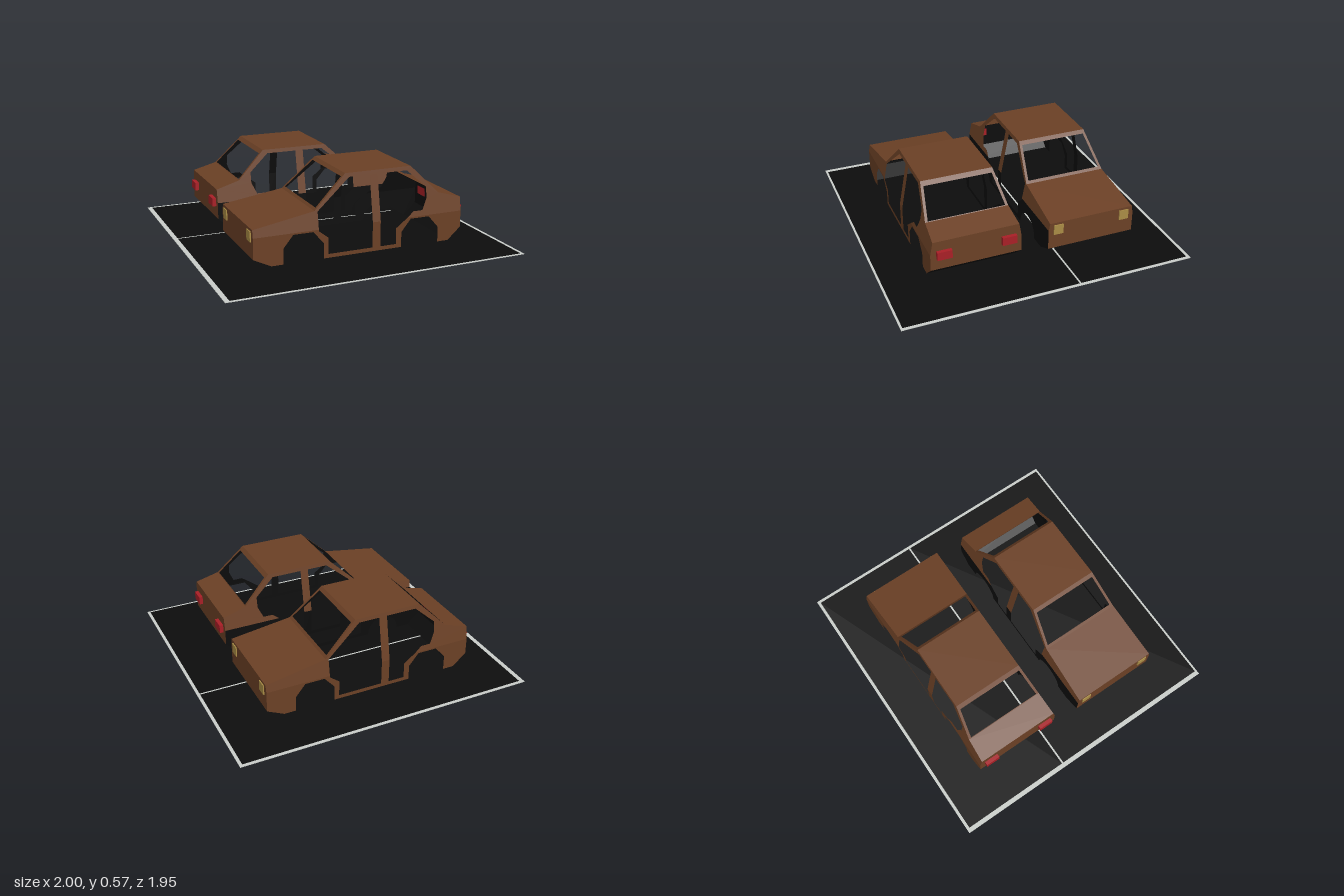
import * as THREE from 'three';

const mat = (name, color) => {
  const m = new THREE.MeshStandardMaterial({ color });
  m.name = name;
  return m;
};

const BELT = 0.25;
// Half width of the body: upright below the belt, leaning in above it
const half = y => 0.3 - Math.max(0, y - BELT) * 0.1875;

// Octagon-like and round wheel openings, walked from rear to front
const cutArch = x => [[x + 0.13, 0.06], [x + 0.13, 0.16], [x + 0.06, 0.24], [x - 0.07, 0.24], [x - 0.135, 0.16], [x - 0.135, 0.06]];
const roundArch = x => Array.from({ length: 13 }, (_, i) => {
  const a = (i / 12) * Math.PI;
  return [x + 0.115 * Math.cos(a), 0.06 + 0.115 * Math.sin(a)];
});

// Body side above the belt, with both door openings as notches
const UPPER = [[-0.733, 0.25], [-0.733, 0.3], [-0.33, 0.365], [-0.11, 0.57], [0.345, 0.57], [0.53, 0.385],
  [0.69, 0.34], [0.69, 0.25], [0.3, 0.25], [0.345, 0.285], [0.41, 0.285], [0.445, 0.36], [0.445, 0.43],
  [0.315, 0.545], [0.11, 0.545], [0.11, 0.25], [0.055, 0.25], [0.055, 0.545], [-0.085, 0.545], [-0.31, 0.36], [-0.31, 0.25]];
// Body side below the belt
const lower = arch => [[-0.733, 0.25], [-0.31, 0.25], [-0.31, 0.24], [-0.245, 0.19], [-0.245, 0.085], [0.055, 0.085],
  [0.055, 0.25], [0.11, 0.25], [0.11, 0.085], [0.22, 0.085], [0.22, 0.19], [0.3, 0.25], [0.69, 0.25], [0.69, 0.14],
  [0.6, 0.06], ...arch(0.393), ...arch(-0.407), [-0.62, 0.06], [-0.733, 0.115]];

// Reverses the faces of a geometry
function flip(g) {
  const idx = g.index.array;
  for (let i = 0; i < idx.length; i += 3) [idx[i], idx[i + 1]] = [idx[i + 1], idx[i]];
  g.computeVertexNormals();
  return g;
}

// Flat side panel, leaned to the body width; s is the side
function sidePanel(points, s) {
  const g = new THREE.ShapeGeometry(new THREE.Shape(points.map(p => new THREE.Vector2(...p))));
  const p = g.attributes.position;
  for (let i = 0; i < p.count; i++) p.setZ(i, s * half(p.getY(i)));
  if (s < 0) return flip(g);
  g.computeVertexNormals();
  return g;
}

// Crosswise quad between profile points a and b, z from za/zb down to wa/wb
function quad(a, b, za = half(a[1]), zb = half(b[1]), wa = -za, wb = -zb) {
  const g = new THREE.BufferGeometry();
  g.setAttribute('position', new THREE.Float32BufferAttribute([...a, za, ...b, zb, ...b, wb, ...a, wa], 3));
  g.setIndex([0, 1, 2, 0, 2, 3]);
  g.computeVertexNormals();
  return g;
}

// Dark inner skin just behind a panel
function lining(g) {
  const c = g.clone(), p = c.attributes.position, n = g.attributes.normal;
  for (let i = 0; i < p.count; i++)
    p.setXYZ(i, p.getX(i) - 0.003 * n.getX(i), p.getY(i) - 0.003 * n.getY(i), p.getZ(i) - 0.003 * n.getZ(i));
  return flip(c);
}

function makeCar(m) {
  const car = new THREE.Group();
  const add = (name, g, material) => {
    const mesh = new THREE.Mesh(g, material);
    mesh.name = name;
    car.add(mesh);
  };
  const panel = (name, g, material = m.brown) => {
    add(name, g, material);
    add(name + 'Lining', lining(g), m.black);
  };

  // Sides
  panel('outerUpperSide', sidePanel(UPPER, 1));
  panel('innerUpperSide', sidePanel(UPPER, -1));
  panel('outerLowerSide', sidePanel(lower(cutArch), 1));
  panel('innerLowerSide', sidePanel(lower(roundArch), -1), m.black);

  // Nose, hood, roof, deck and tail
  panel('noseUnderside', quad([-0.62, 0.06], [-0.733, 0.115]), m.black);
  panel('nose', quad([-0.733, 0.115], [-0.733, BELT]));
  panel('noseTop', quad([-0.733, BELT], [-0.733, 0.3]));
  panel('hood', quad([-0.733, 0.3], [-0.33, 0.365]));
  panel('roof', quad([-0.11, 0.57], [0.345, 0.57]));
  panel('rearDeck', quad([0.53, 0.385], [0.69, 0.34]));
  panel('tailTop', quad([0.69, 0.34], [0.69, BELT]));
  panel('tail', quad([0.69, BELT], [0.69, 0.14]));
  panel('tailUnderside', quad([0.69, 0.14], [0.6, 0.06]), m.black);

  // Open window frames: two rails and two posts
  const frame = (name, a, b, ta, tb) => {
    const at = t => [a[0] + (b[0] - a[0]) * t, a[1] + (b[1] - a[1]) * t];
    const p = at(ta), q = at(tb), hp = half(p[1]), hq = half(q[1]);
    panel(name + 'FrontRail', quad(a, p));
    panel(name + 'RearRail', quad(q, b));
    panel(name + 'OuterPost', quad(p, q, hp, hq, hp - 0.018, hq - 0.018));
    panel(name + 'InnerPost', quad(p, q, 0.018 - hp, 0.018 - hq, -hp, -hq));
  };
  frame('windshield', [-0.33, 0.365], [-0.11, 0.57], 0.07, 0.9);
  frame('rearWindow', [0.345, 0.57], [0.53, 0.385], 0.13, 0.98);

  // Lamps
  for (const s of [-1, 1]) {
    add('headlight', new THREE.BoxGeometry(0.014, 0.068, 0.066).translate(-0.733, 0.25, s * 0.232), m.amber);
    add('tailLight', new THREE.BoxGeometry(0.03, 0.056, 0.097).translate(0.7, 0.247, s * 0.213), m.red);
  }
  return car;
}

export function createModel() {
  const m = {
    brown: mat('brownPaint', 0x6b4025),
    black: mat('black', 0x0d0d0d),
    amber: mat('amberLamp', 0xa98c45),
    red: mat('redLamp', 0xa81f26),
    pale: mat('paleLine', 0xc8ccc8),
  };
  const model = new THREE.Group();

  // Ground slab in two halves, with a pale rim and a dividing line
  const slab = (name, x0, x1, z0, z1, material) => {
    const mesh = new THREE.Mesh(new THREE.BoxGeometry(x1 - x0, 0.004, z1 - z0), material);
    mesh.position.set((x0 + x1) / 2, 0.002, (z0 + z1) / 2);
    mesh.name = name;
    model.add(mesh);
  };
  slab('groundBack', -0.97, 0.98, -0.956, -0.197, m.black);
  slab('groundFront', -0.97, 0.98, -0.185, 0.962, m.black);
  slab('dividingLine', -0.97, 0.98, -0.197, -0.185, m.pale);
  slab('rimLeft', 0.98, 1, -0.976, 0.976, m.pale);
  slab('rimRight', -1, -0.97, -0.976, 0.976, m.pale);
  slab('rimFront', -0.97, 0.98, 0.962, 0.976, m.pale);
  slab('rimBack', -0.97, 0.98, -0.976, -0.956, m.pale);

  // Two cars facing opposite ways
  const front = makeCar(m);
  front.name = 'frontCar';
  front.position.z = 0.388;
  const back = makeCar(m);
  back.name = 'backCar';
  back.rotation.y = Math.PI;
  back.position.set(-0.022, 0, -0.388);
  model.add(front, back);
  return model;
}
